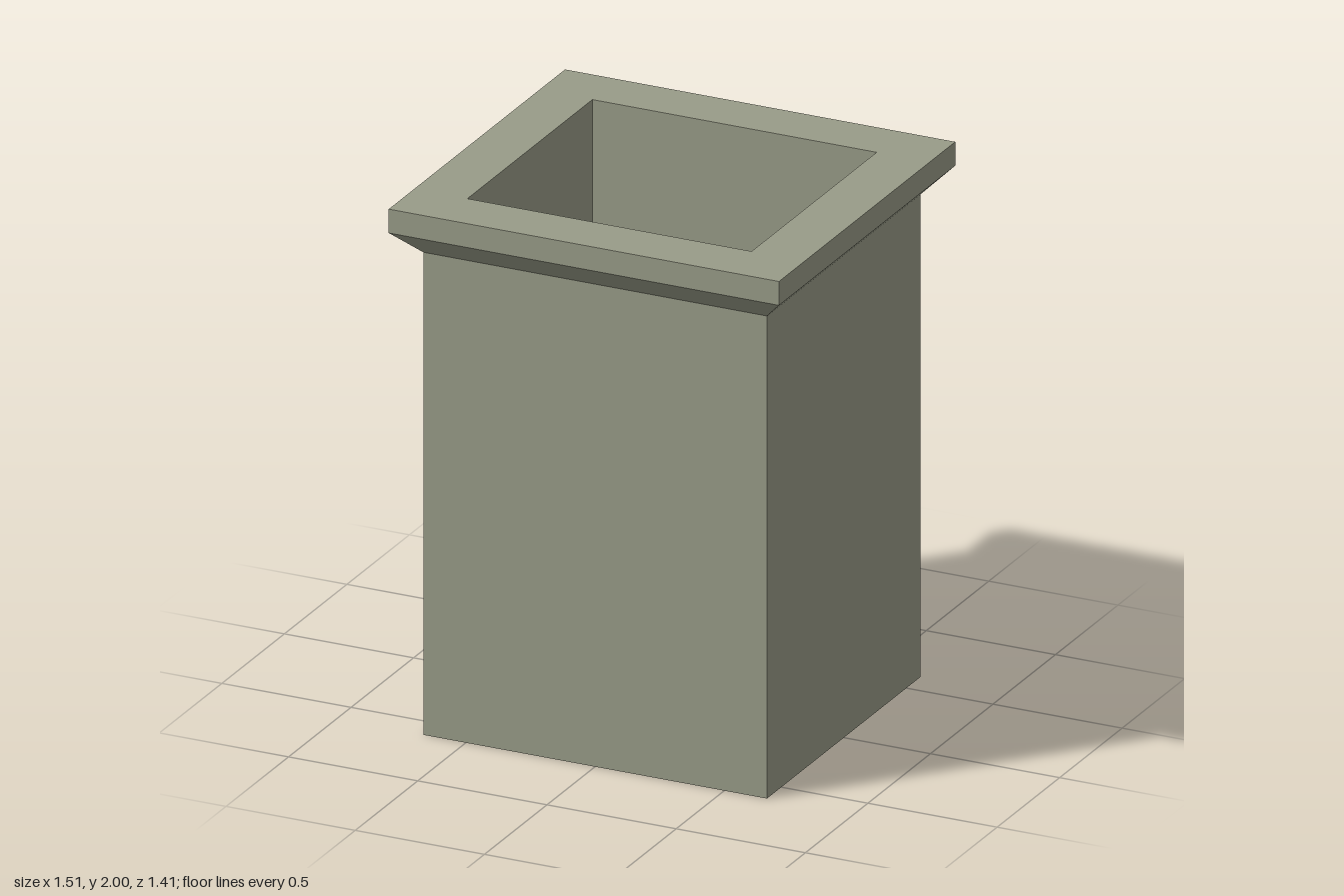
import * as THREE from 'three';

const material = new THREE.MeshStandardMaterial({ color: 0x999c88, flatShading: true });

// Joins rectangular rings [halfWidth, halfDepth, y] with flat quads.
// Rings run up the outside, across the top and down the inside.
function ringBand(name, rings) {
  const corners = [[1, 1], [1, -1], [-1, -1], [-1, 1]];
  const points = [];
  const corner = ([w, d, y], i) => {
    const [sx, sz] = corners[i % 4];
    return [sx * w, y, sz * d];
  };
  for (let r = 0; r < rings.length - 1; r++) {
    for (let i = 0; i < 4; i++) {
      const a = corner(rings[r], i), b = corner(rings[r], i + 1);
      const c = corner(rings[r + 1], i + 1), d = corner(rings[r + 1], i);
      points.push(...a, ...b, ...c, ...a, ...c, ...d);
    }
  }
  const geometry = new THREE.BufferGeometry();
  geometry.setAttribute('position', new THREE.Float32BufferAttribute(points, 3));
  geometry.computeVertexNormals();
  const mesh = new THREE.Mesh(geometry, material);
  mesh.name = name;
  return mesh;
}

// Flat rectangle facing up or down
function slab(name, width, depth, y, facing) {
  const geometry = new THREE.PlaneGeometry(width, depth);
  geometry.rotateX(-facing * Math.PI / 2);
  const mesh = new THREE.Mesh(geometry, material);
  mesh.name = name;
  mesh.position.y = y;
  return mesh;
}

export function createModel() {
  const group = new THREE.Group();
  group.name = 'planter';

  const body = [0.665, 0.615], lip = [0.755, 0.705], cavity = [0.55, 0.5];
  const shoulderY = 1.82, lipY = 1.91, topY = 2, floorY = 0.11;

  // Outer box
  group.add(ringBand('outerWalls', [[...body, 0], [...body, shoulderY]]));
  group.add(slab('base', body[0] * 2, body[1] * 2, 0, -1));

  // Flared rim with a flat top
  group.add(ringBand('rim', [
    [...body, shoulderY], [...lip, lipY], [...lip, topY], [...cavity, topY],
  ]));

  // Hollow inside
  group.add(ringBand('innerWalls', [[...cavity, topY], [...cavity, floorY]]));
  group.add(slab('innerFloor', cavity[0] * 2, cavity[1] * 2, floorY, 1));

  return group;
}
